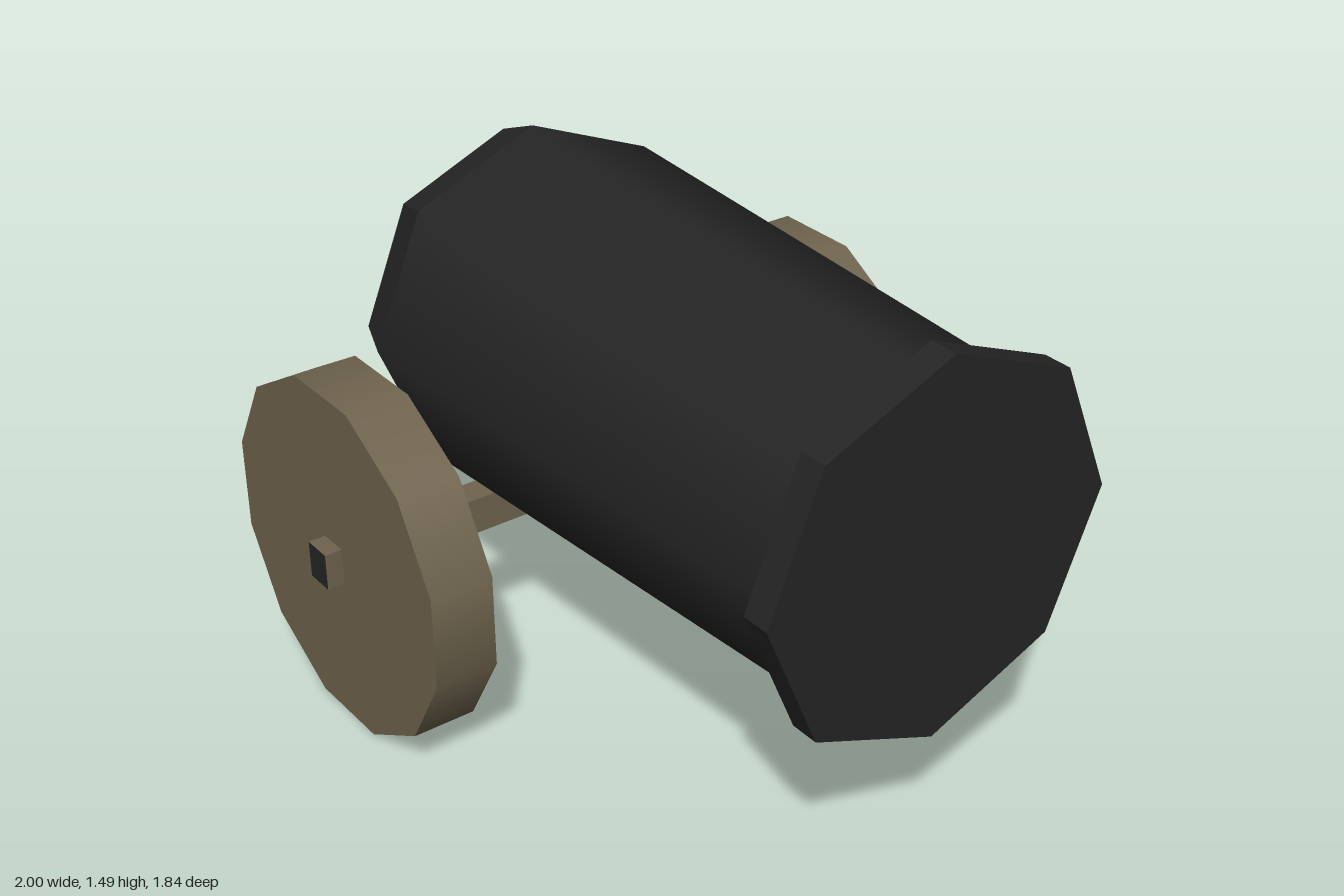
import * as THREE from 'three';

export function createModel() {
  const group = new THREE.Group();
  group.name = 'cannon';

  const iron = new THREE.MeshStandardMaterial({ color: 0x252525 });
  iron.name = 'dark iron';
  const wood = new THREE.MeshStandardMaterial({ color: 0x6f644e });
  wood.name = 'weathered wood';

  const add = (name, geometry, material, x, y, z, parent = group) => {
    const mesh = new THREE.Mesh(geometry, material);
    mesh.name = name;
    mesh.position.set(x, y, z);
    parent.add(mesh);
    return mesh;
  };

  // Eight-sided barrel built from frustums along x
  const barrel = new THREE.Group();
  barrel.name = 'barrel';
  barrel.position.y = 0.947;
  group.add(barrel);

  const frustum = (name, x0, r0, x1, r1, smooth = false) => {
    let geometry = new THREE.CylinderGeometry(r1, r0, x1 - x0, 8, 1, true);
    if (!smooth) {
      geometry = geometry.toNonIndexed();
      geometry.computeVertexNormals();
    }
    geometry.rotateZ(-Math.PI / 2);
    add(name, geometry, iron, (x0 + x1) / 2, 0, 0, barrel);
  };
  frustum('breechEnd', -1, 0.375, -0.89, 0.485);
  frustum('breechShoulder', -0.89, 0.485, -0.735, 0.545);
  frustum('barrelBody', -0.735, 0.545, 0.9, 0.47, true);
  frustum('muzzleRimBack', 0.9, 0.47, 0.915, 0.545);
  frustum('muzzleRim', 0.915, 0.545, 1, 0.545);

  // Flat discs closing both ends
  const disc = (name, x, radius, side) => {
    const geometry = new THREE.CircleGeometry(radius, 8).rotateY(side * Math.PI / 2);
    add(name, geometry, iron, x, 0, 0, barrel);
  };
  disc('muzzleFace', 1, 0.545, 1);
  disc('breechFace', -1, 0.375, -1);

  // Square axle with iron ends
  const axleX = -0.475, axleY = 0.515;
  add('axle', new THREE.BoxGeometry(0.09, 0.11, 1.84),
    [wood, wood, wood, wood, iron, iron], axleX, axleY, 0);

  // Solid twelve-sided wheels resting on a flat edge
  const wheelRadius = axleY / Math.cos(Math.PI / 12);
  for (const [name, z] of [['frontWheel', 0.775], ['backWheel', -0.745]]) {
    const geometry = new THREE.CylinderGeometry(
      wheelRadius, wheelRadius, 0.187, 12, 1, false, Math.PI / 12);
    geometry.rotateX(Math.PI / 2);
    add(name, geometry, wood, axleX, axleY, z);
  }

  return group;
}
